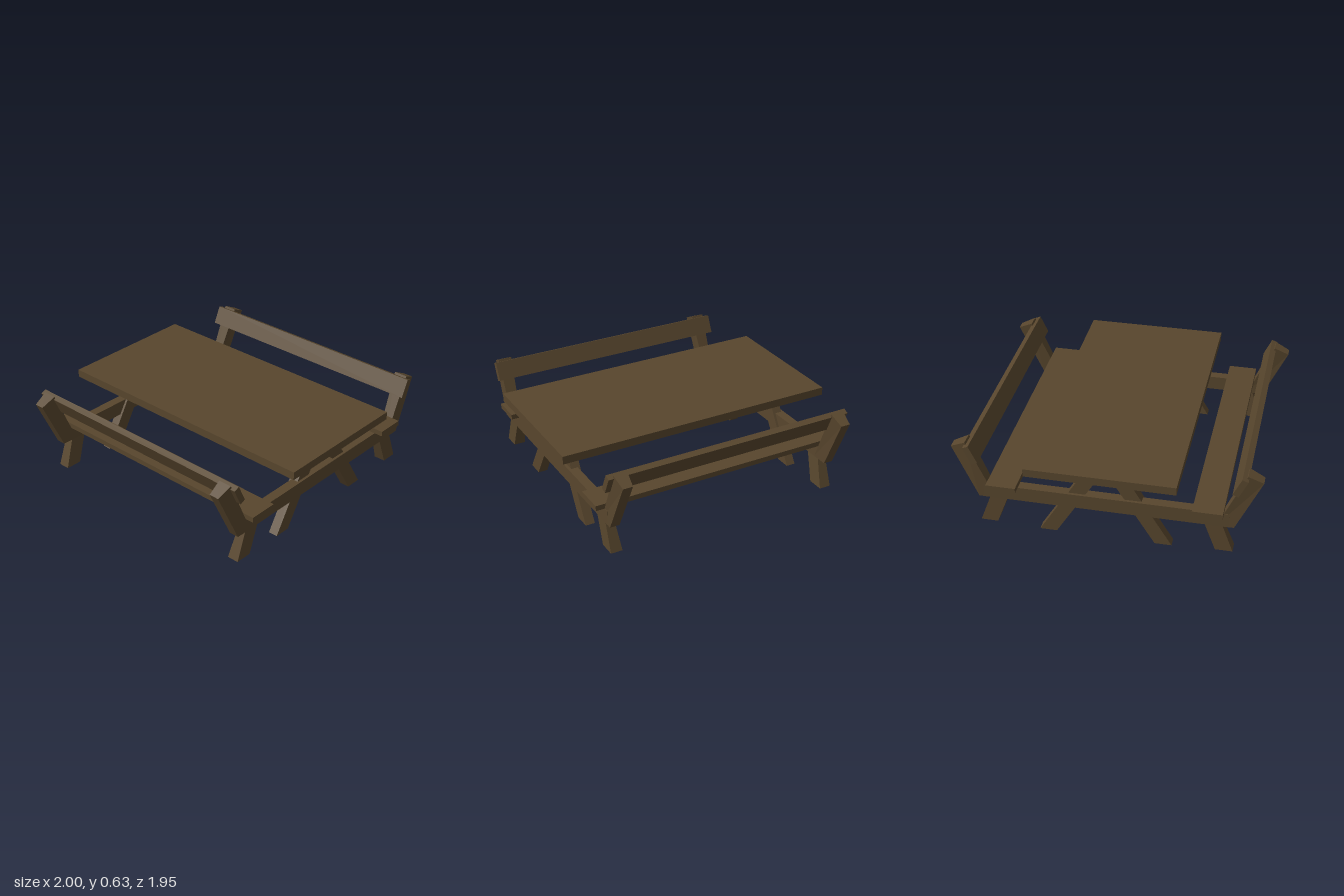
import * as THREE from 'three';

const wood = new THREE.MeshStandardMaterial({ color: 0x58462d, roughness: 0.9, flatShading: true });

// Timber from four corners [x, y, zMin, zMax], anticlockwise seen from +z; sx and sz mirror it.
function timber(name, corners, sx = 1, sz = 1) {
  let c = corners.map(([x, y, a, b]) => [x * sx, y, sz > 0 ? a : -b, sz > 0 ? b : -a]);
  if (sx < 0) c = c.reverse();
  const back = c.map(([x, y, a]) => [x, y, a]);
  const front = c.map(([x, y, , b]) => [x, y, b]);
  const pos = [];
  const quad = (p, q, r, s) => pos.push(...p, ...q, ...r, ...p, ...r, ...s);
  quad(...front);
  quad(back[3], back[2], back[1], back[0]);
  for (let i = 0; i < 4; i++) {
    const j = (i + 1) % 4;
    quad(back[i], back[j], front[j], front[i]);
  }
  const geo = new THREE.BufferGeometry();
  geo.setAttribute('position', new THREE.Float32BufferAttribute(pos, 3));
  geo.computeVertexNormals();
  const mesh = new THREE.Mesh(geo, wood);
  mesh.name = name;
  return mesh;
}

// Straight board spanning the given ranges.
function board(name, x0, x1, y0, y1, z0, z1) {
  const mesh = new THREE.Mesh(new THREE.BoxGeometry(x1 - x0, y1 - y0, z1 - z0), wood);
  mesh.position.set((x0 + x1) / 2, (y0 + y1) / 2, (z0 + z1) / 2);
  mesh.name = name;
  return mesh;
}

export function createModel() {
  const model = new THREE.Group();
  model.name = 'picnicTable';

  model.add(board('tableTop', -0.485, 0.485, 0.53, 0.585, -0.975, 0.975));

  // Cross beams at both ends
  for (const sz of [-1, 1]) {
    model.add(board('crossBeam', -0.8, 0.8, 0.222, 0.323, sz * 0.8 - 0.033, sz * 0.8 + 0.033));
  }

  for (const sx of [-1, 1]) {
    // Seat plank and leaning backrest along each side
    const mid = sx * 0.668;
    model.add(board('seat', mid - 0.098, mid + 0.098, 0.323, 0.358, -0.893, 0.893));
    const w = [-0.87, 0.87];
    model.add(timber('backrest', [
      [0.815, 0.51, ...w], [0.853, 0.493, ...w], [0.908, 0.612, ...w], [0.87, 0.628, ...w],
    ], sx));

    for (const sz of [-1, 1]) {
      // Slanted table leg, meeting its partner under the top
      const t = [0.75, 0.815];
      model.add(timber('tableLeg', [
        [0.325, 0, ...t], [0.437, 0, ...t], [0.113, 0.53, ...t], [0, 0.53, ...t],
      ], sx, sz));

      // Short bench leg, splayed towards the ground
      model.add(timber('benchLeg', [
        [0.72, 0.028, 0.75, 0.83], [0.833, 0.028, 0.75, 0.83],
        [0.76, 0.224, 0.768, 0.828], [0.645, 0.224, 0.768, 0.828],
      ], sx, sz));

      // Back post, widening upwards and thicker on its inner face
      model.add(timber('backPost', [
        [0.72, 0.222, 0.767, 0.832], [0.833, 0.222, 0.767, 0.832],
        [1, 0.585, 0.755, 0.822], [0.902, 0.632, 0.742, 0.836],
      ], sx, sz));
    }
  }
  return model;
}
